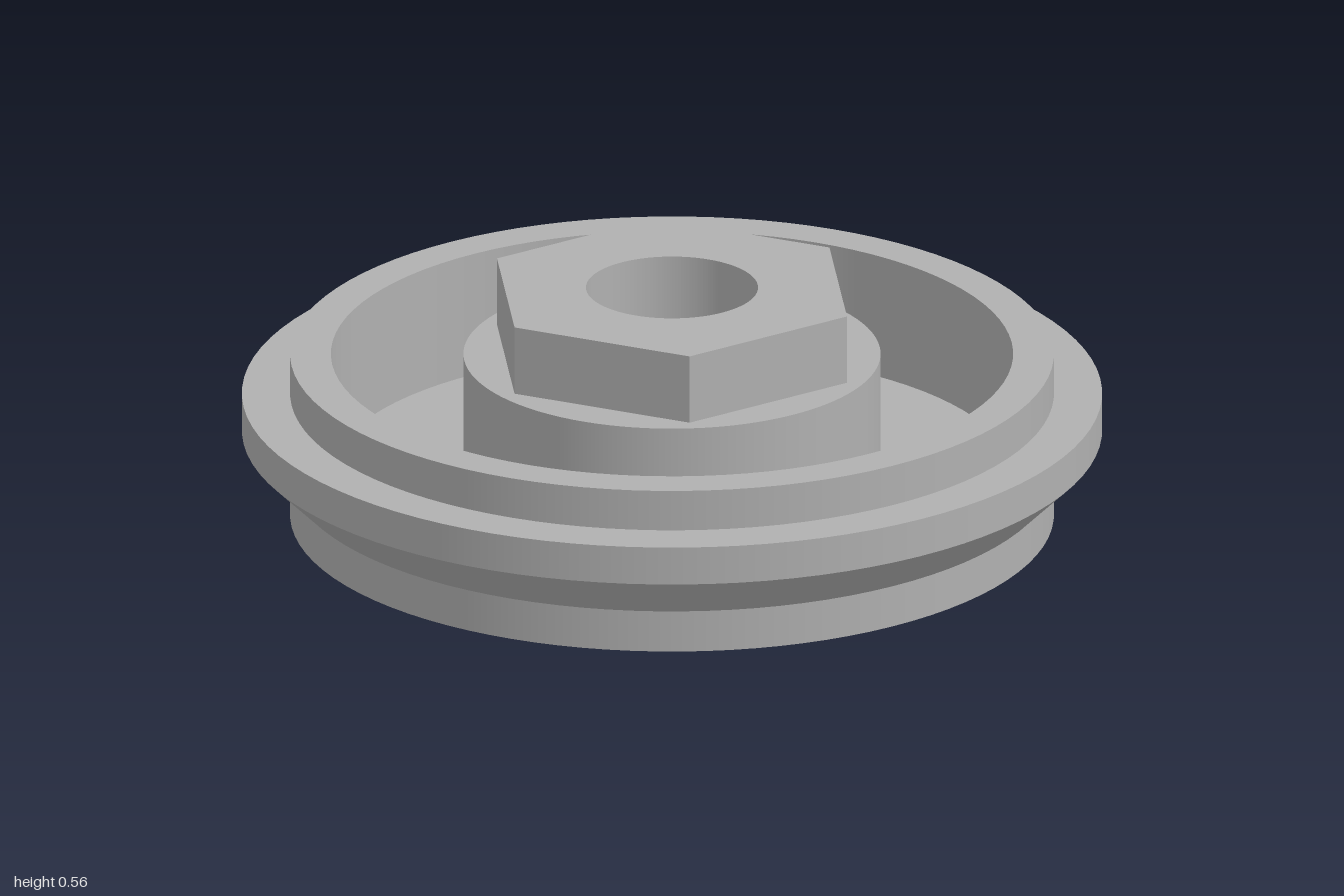
import * as THREE from 'three';
import { mergeGeometries } from 'three/addons/utils/BufferGeometryUtils.js';

const SEGMENTS = 96;
const BORE = 0.2;

// Revolve a profile of [radius, height] points, keeping every corner sharp
function turned(name, profile, material) {
  const bands = [];
  for (let i = 0; i < profile.length - 1; i++) {
    const ends = [profile[i], profile[i + 1]].map(([r, y]) => new THREE.Vector2(r, y));
    bands.push(new THREE.LatheGeometry(ends, SEGMENTS));
  }
  const mesh = new THREE.Mesh(mergeGeometries(bands), material);
  mesh.name = name;
  return mesh;
}

export function createModel() {
  const group = new THREE.Group();
  group.name = 'flangedCap';
  const metal = new THREE.MeshStandardMaterial({ color: 0xb0b0b0 });
  metal.name = 'grey metal';

  const floorY = 0.1, rimY = 0.4, topY = 0.565;
  const rimInner = 0.793, rimOuter = 0.888, bossRadius = 0.485;

  // Underside, lower band, chamfered flange and raised rim
  group.add(turned('flangedBody', [
    [BORE, 0], [rimOuter, 0], [rimOuter, 0.1], [1, 0.21], [1, 0.302],
    [rimOuter, 0.302], [rimOuter, rimY], [rimInner, rimY],
  ], metal));

  // Inner wall and floor of the recess
  group.add(turned('recess', [
    [rimInner, rimY], [rimInner, floorY], [bossRadius, floorY],
  ], metal));

  // Round boss in the middle, with the bore through it
  group.add(turned('boss', [
    [bossRadius, floorY], [bossRadius, rimY], [BORE, rimY], [BORE, 0],
  ], metal));

  // Hexagonal nut with its corners on the x axis
  const hexagon = new THREE.Shape();
  for (let i = 0; i < 6; i++) {
    const a = i * Math.PI / 3;
    const x = 0.448 * Math.cos(a), y = 0.448 * Math.sin(a);
    if (i === 0) hexagon.moveTo(x, y);
    else hexagon.lineTo(x, y);
  }
  hexagon.closePath();
  const hole = new THREE.Path();
  hole.absarc(0, 0, BORE, 0, Math.PI * 2, true);
  hexagon.holes.push(hole);
  const nutGeometry = new THREE.ExtrudeGeometry(hexagon, {
    depth: topY - rimY, bevelEnabled: false, curveSegments: SEGMENTS,
  });
  nutGeometry.rotateX(-Math.PI / 2);
  nutGeometry.translate(0, rimY, 0);
  const nut = new THREE.Mesh(nutGeometry, metal);
  nut.name = 'hexNut';
  group.add(nut);

  return group;
}
